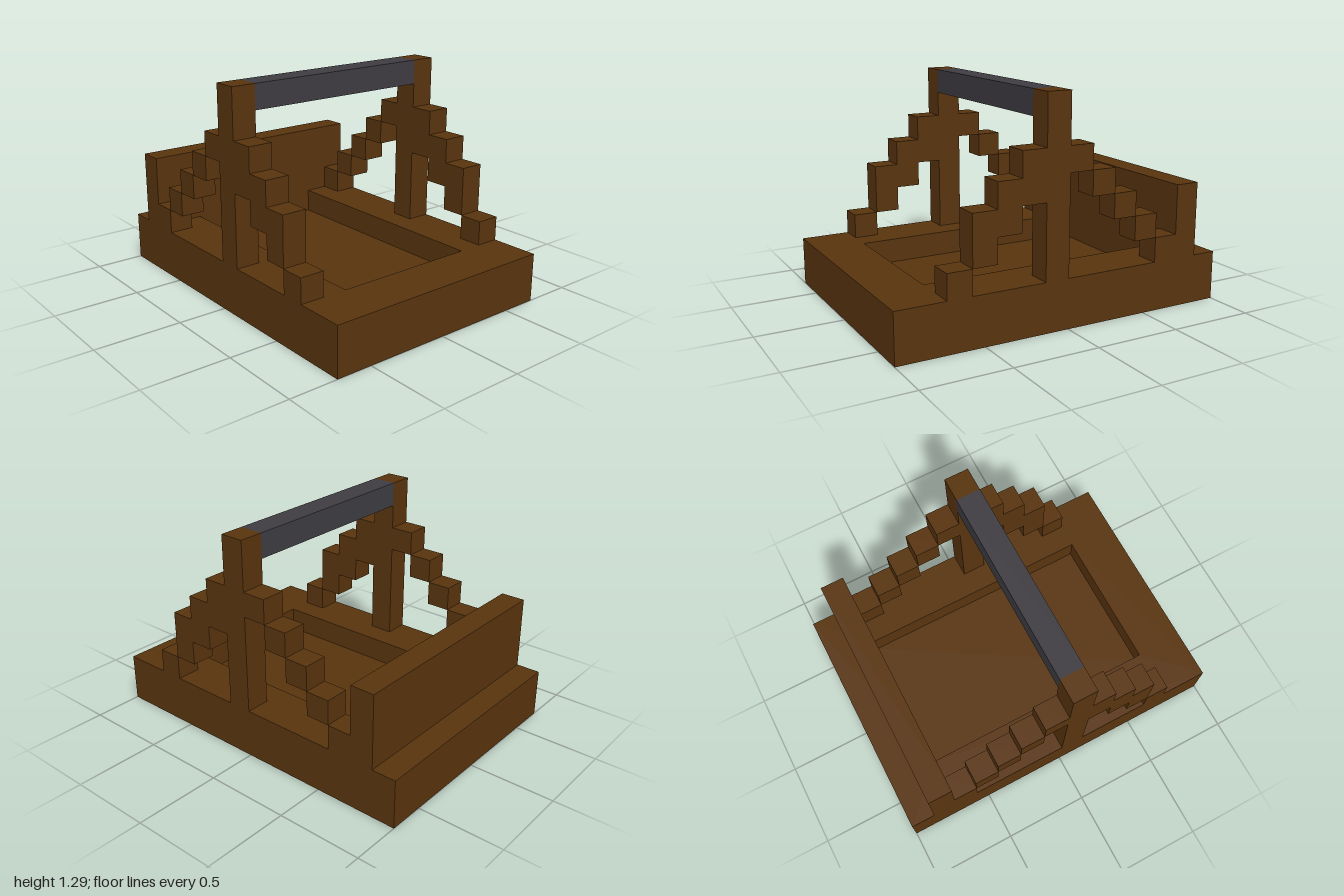
import * as THREE from 'three';

const U = 1 / 7; // one block

export function createModel() {
  const model = new THREE.Group();
  model.name = 'blockyCarryFrame';

  const wood = new THREE.MeshStandardMaterial({ color: 0x58340e });
  wood.name = 'dark brown wood';
  const iron = new THREE.MeshStandardMaterial({ color: 0x3e3c42 });
  iron.name = 'dark grey bar';

  // Box given by its limits in blocks
  function block(name, parent, material, [x0, x1], [y0, y1], [z0, z1]) {
    const geometry = new THREE.BoxGeometry((x1 - x0) * U, (y1 - y0) * U, (z1 - z0) * U);
    const mesh = new THREE.Mesh(geometry, material);
    mesh.position.set((x0 + x1) / 2 * U, (y0 + y1) / 2 * U, (z0 + z1) / 2 * U);
    mesh.name = name;
    parent.add(mesh);
  }

  function rectangle(Type, halfX, halfY) {
    const x = halfX * U, y = halfY * U;
    return new Type([
      new THREE.Vector2(-x, -y), new THREE.Vector2(x, -y),
      new THREE.Vector2(x, y), new THREE.Vector2(-x, y),
    ]);
  }

  // Tray: a thick rim around a sunken floor
  const outline = rectangle(THREE.Shape, 5, 7);
  outline.holes.push(rectangle(THREE.Path, 3, 5));
  const rimGeometry = new THREE.ExtrudeGeometry(outline, { depth: 2 * U, bevelEnabled: false });
  rimGeometry.rotateX(-Math.PI / 2);
  const rim = new THREE.Mesh(rimGeometry, wood);
  rim.name = 'trayRim';
  model.add(rim);
  block('trayFloor', model, wood, [-3, 3], [0, 1], [-5, 5]);

  // Upright board near the back
  block('backBoard', model, wood, [-5, 5], [2, 5], [-6, -5]);

  // Stepped braces, from the post outwards: [bottom, top]
  const frontSteps = [[5, 7], [4, 6], [3, 5], [2, 3]];
  const backSteps = [[6, 7], [5, 6], [4, 5], [3, 4], [2, 3]];

  for (const [side, x] of [['left', [4, 5]], ['right', [-5, -4]]]) {
    const frame = new THREE.Group();
    frame.name = side + 'Frame';
    block(side + 'Post', frame, wood, x, [2, 9], [0, 1]);
    frontSteps.forEach((y, i) =>
      block(side + 'FrontBraceStep' + (i + 1), frame, wood, x, y, [i + 1, i + 2]));
    backSteps.forEach((y, i) =>
      block(side + 'BackBraceStep' + (i + 1), frame, wood, x, y, [-i - 1, -i]));
    model.add(frame);
  }

  // Bar between the post tops
  block('crossBar', model, iron, [-4, 4], [8, 9], [0, 1]);

  return model;
}
